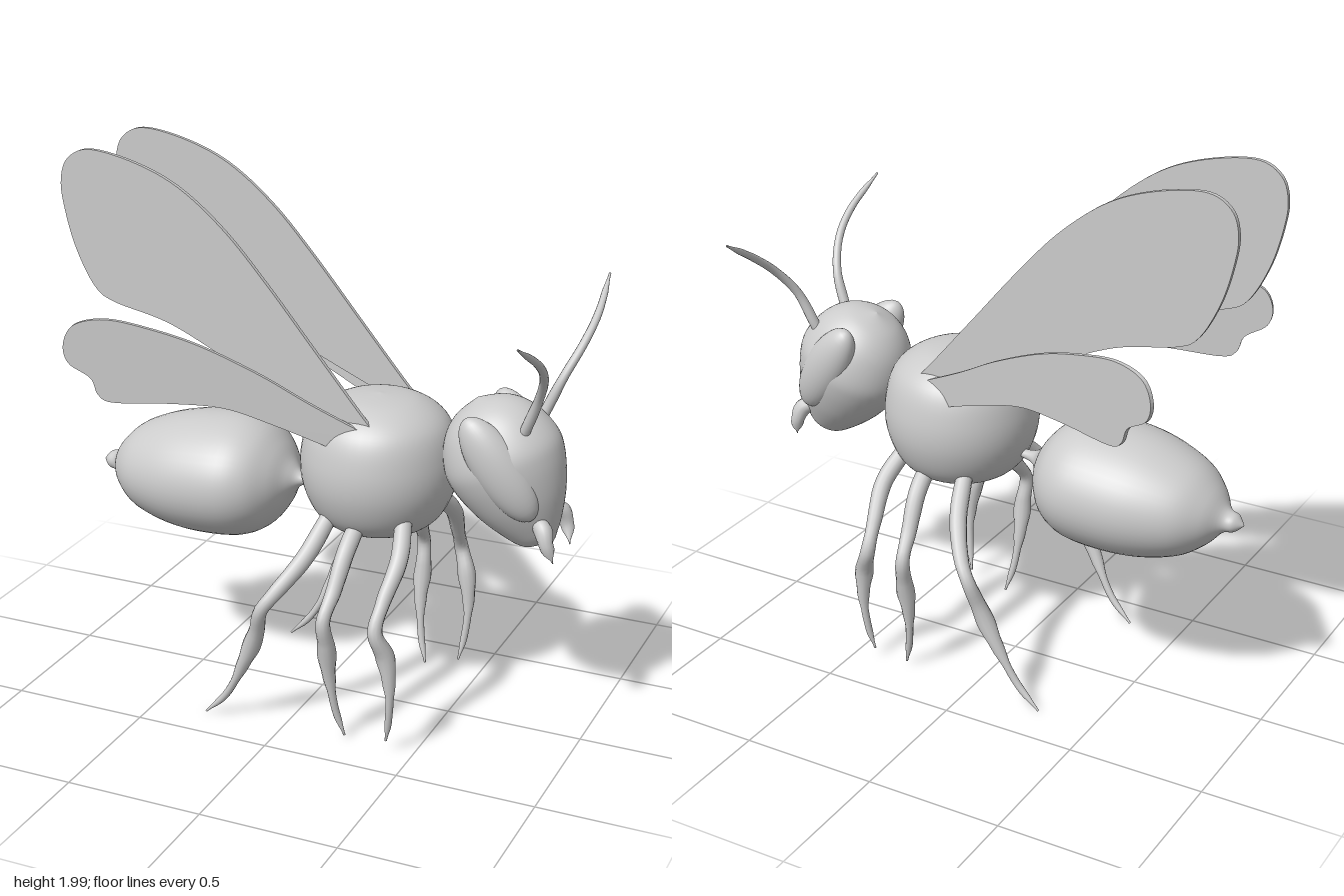
import * as THREE from 'three';

const grey = new THREE.MeshStandardMaterial({ color: 0xcccccc });
const thin = new THREE.MeshStandardMaterial({ color: 0xcccccc, side: THREE.DoubleSide });

// Rounded body: smooth [radius, height] profile spun about a leaning axis in the xy plane
function spun(name, profile, x, y, lean, depth) {
  const curve = new THREE.SplineCurve(profile.map(([r, h]) => new THREE.Vector2(r, h)));
  const points = curve.getPoints(60);
  points.forEach(p => { p.x = Math.max(0, p.x); });
  const mesh = new THREE.Mesh(new THREE.LatheGeometry(points, 48), grey);
  mesh.name = name;
  mesh.position.set(x, y, 0);
  mesh.rotation.z = lean;
  mesh.scale.z = depth;
  return mesh;
}

// Tube whose radius varies along its path; side mirrors z
function limb(name, path, radii, side, zScale = 1, dx = 0) {
  const curve = new THREE.CatmullRomCurve3(
    path.map(([x, y, z]) => new THREE.Vector3(x + dx, y, z * side * zScale)));
  const rings = 40, sides = 12;
  const geo = new THREE.TubeGeometry(curve, rings, 1, sides);
  const pos = geo.attributes.position, v = new THREE.Vector3();
  for (let i = 0; i <= rings; i++) {
    const centre = curve.getPointAt(i / rings);
    const t = (i / rings) * (radii.length - 1), k = Math.min(Math.floor(t), radii.length - 2);
    const r = THREE.MathUtils.lerp(radii[k], radii[k + 1], THREE.MathUtils.smoothstep(t - k, 0, 1));
    for (let j = 0; j <= sides; j++) {
      const n = i * (sides + 1) + j;
      v.fromBufferAttribute(pos, n).sub(centre).multiplyScalar(r).add(centre);
      pos.setXYZ(n, v.x, v.y, v.z);
    }
  }
  const mesh = new THREE.Mesh(geo, thin);
  mesh.name = name;
  return mesh;
}

// Thin upright blade, hinged at its root and swept outward by an angle
function wing(name, outline, side, sweep) {
  const hinge = 0.3;
  const shape = new THREE.Shape();
  const pts = outline.map(([x, y]) => new THREE.Vector2((x - hinge) / Math.cos(sweep), y));
  shape.moveTo(pts[0].x, pts[0].y);
  shape.splineThru(pts.slice(1));
  shape.closePath();
  const geo = new THREE.ExtrudeGeometry(shape, { depth: 0.016, bevelEnabled: false, curveSegments: 6 });
  geo.translate(0, 0, -0.008);
  const mesh = new THREE.Mesh(geo, thin);
  mesh.name = name;
  mesh.position.set(hinge, 0, side * 0.19);
  mesh.rotation.y = side * sweep;
  return mesh;
}

const upperWing = [[0.31, 1.1], [0.22, 1.2], [0.05, 1.4], [-0.12, 1.6], [-0.28, 1.77], [-0.45, 1.9],
  [-0.62, 1.97], [-0.8, 2], [-0.89, 1.96], [-0.92, 1.88], [-0.91, 1.78], [-0.87, 1.64], [-0.8, 1.51],
  [-0.72, 1.46], [-0.5, 1.41], [-0.25, 1.3], [0.05, 1.17], [0.24, 1.09]];
const lowerWing = [[0.3, 1.1], [0.08, 1.21], [-0.1, 1.31], [-0.3, 1.4], [-0.47, 1.45], [-0.62, 1.475],
  [-0.73, 1.45], [-0.77, 1.38], [-0.755, 1.31], [-0.68, 1.26], [-0.655, 1.2], [-0.6, 1.175],
  [-0.4, 1.185], [-0.22, 1.18], [-0.05, 1.13], [0.13, 1.065]];

const legs = {
  frontLeg: [[0.38, 0.8, 0.15], [0.41, 0.7, 0.26], [0.395, 0.58, 0.36], [0.39, 0.49, 0.415],
    [0.42, 0.4, 0.395], [0.435, 0.26, 0.385], [0.425, 0.13, 0.37], [0.41, 0.05, 0.355]],
  middleLeg: [[0.22, 0.78, 0.17], [0.215, 0.7, 0.27], [0.205, 0.58, 0.35], [0.195, 0.49, 0.415],
    [0.2, 0.4, 0.4], [0.2, 0.27, 0.375], [0.215, 0.12, 0.35], [0.24, 0.02, 0.33]],
  hindLeg: [[0.11, 0.78, 0.18], [0.07, 0.66, 0.3], [0, 0.55, 0.4], [-0.04, 0.49, 0.425],
    [-0.07, 0.39, 0.4], [-0.13, 0.25, 0.385], [-0.21, 0.1, 0.37], [-0.295, 0.01, 0.365]],
};
const legRadii = [0.03, 0.032, 0.031, 0.028, 0.024, 0.027, 0.034, 0.024, 0.014, 0.013, 0.004];

export function createModel() {
  const model = new THREE.Group();
  model.name = 'waspInsect';
  model.rotation.y = -0.017;

  // Body
  model.add(spun('thorax', [[0, 0], [0.13, 0.015], [0.22, 0.07], [0.272, 0.18], [0.278, 0.3],
    [0.24, 0.42], [0.14, 0.49], [0, 0.51]], 0.222, 0.69, 0, 1));
  model.add(spun('abdomen', [[0, 0], [0.03, 0.03], [0.045, 0.07], [0.105, 0.12], [0.165, 0.2],
    [0.208, 0.33], [0.225, 0.46], [0.222, 0.6], [0.187, 0.69], [0.125, 0.75], [0.06, 0.79],
    [0.022, 0.83], [0.012, 0.92]], -0.905, 0.765, -Math.PI / 2 + 0.07, 1.18));

  // Head, with its narrow end pointing down and forward
  model.add(spun('head', [[0, 0], [0.06, 0.015], [0.108, 0.07], [0.165, 0.167], [0.205, 0.278],
    [0.21, 0.36], [0.17, 0.46], [0.1, 0.525], [0, 0.557]], 0.83, 0.74, 0.455, 0.93));
  const face = new THREE.Mesh(new THREE.SphereGeometry(1, 24, 16), grey);
  face.name = 'facePlate';
  face.position.set(0.835, 0.84, 0);
  face.scale.set(0.05, 0.11, 0.07);
  face.rotation.z = 0.1;
  model.add(face);

  for (const side of [1, -1]) {
    const label = side > 0 ? 'Near' : 'Far';

    const eye = new THREE.Mesh(new THREE.SphereGeometry(1, 32, 20), grey);
    eye.name = 'eye' + label;
    eye.position.set(0.718, 1.045, side * 0.14);
    eye.rotation.set(0, side * 0.22, 0.6, 'YXZ');
    eye.scale.set(0.088, 0.21, 0.068);
    model.add(eye);

    model.add(limb('antenna' + label, [[0.77, 1.13, 0.085], [0.795, 1.19, 0.098], [0.845, 1.31, 0.125],
      [0.885, 1.41, 0.2], [0.9, 1.49, 0.3], [0.885, 1.59, 0.465]],
      [0.019, 0.019, 0.016, 0.015, 0.014, 0.012, 0.004], side));
    model.add(limb('mandible' + label, [[0.82, 0.85, 0.06], [0.865, 0.835, 0.095], [0.885, 0.785, 0.108],
      [0.905, 0.715, 0.09]], [0.02, 0.032, 0.024, 0.002], side));

    for (const [name, path] of Object.entries(legs)) {
      const shift = side < 0 && name === 'middleLeg' ? 0.045 : 0;
      model.add(limb(name + label, path, legRadii, side, side > 0 ? 1 : 0.93, shift));
    }

    model.add(wing('upperWing' + label, upperWing, side, 0));
    model.add(wing('lowerWing' + label, lowerWing, side, 0.25));
  }
  return model;
}
